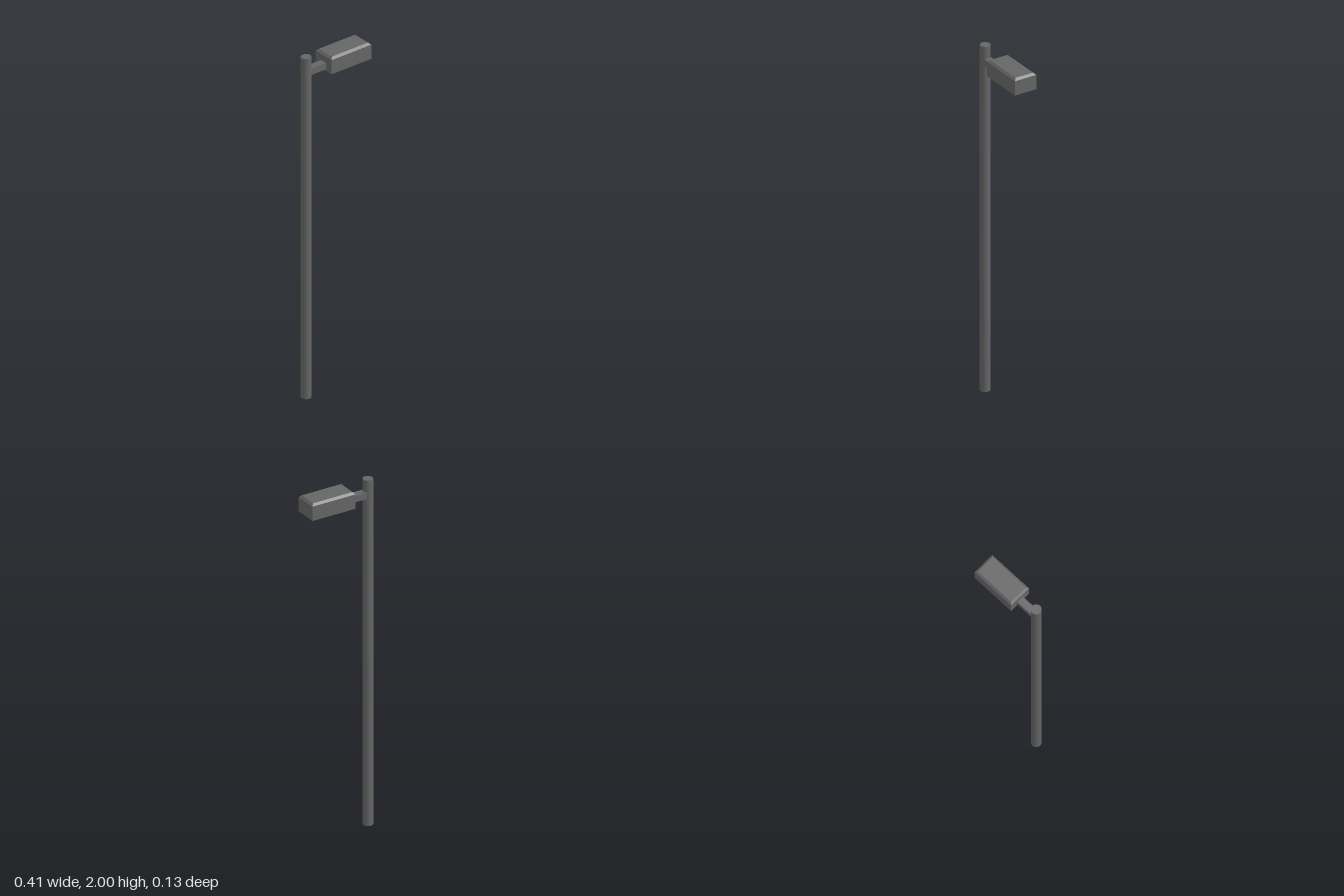
import * as THREE from 'three';

const metal = new THREE.MeshStandardMaterial({ color: 0x666666 });
const metalFlat = new THREE.MeshStandardMaterial({ color: 0x666666, flatShading: true });

// Skin of rectangular rings [inset, y], running from the top cap, round the rim, to the inner ceiling
function rectShell(halfX, halfZ, rings) {
  const pos = [], index = [];
  for (const [inset, y] of rings) {
    const x = halfX - inset, z = halfZ - inset;
    pos.push(x, y, z, x, y, -z, -x, y, -z, -x, y, z);
  }
  index.push(0, 1, 2, 0, 2, 3);
  for (let r = 0; r < rings.length - 1; r++) {
    for (let k = 0; k < 4; k++) {
      const a = r * 4 + k, a2 = r * 4 + (k + 1) % 4;
      index.push(a, a + 4, a2 + 4, a, a2 + 4, a2);
    }
  }
  const n = (rings.length - 1) * 4;
  index.push(n, n + 2, n + 1, n, n + 3, n + 2);
  const indexed = new THREE.BufferGeometry();
  indexed.setAttribute('position', new THREE.Float32BufferAttribute(pos, 3));
  indexed.setIndex(index);
  const geo = indexed.toNonIndexed();
  geo.computeVertexNormals();
  return geo;
}

export function createModel() {
  const group = new THREE.Group();
  group.name = 'streetLamp';
  const add = (name, geo, mat, x, y, z = 0) => {
    const mesh = new THREE.Mesh(geo, mat);
    mesh.name = name;
    mesh.position.set(x, y, z);
    group.add(mesh);
  };

  // Round upright pole
  add('pole', new THREE.CylinderGeometry(0.028, 0.028, 2, 32), metal, -0.176, 1);

  // Short flat arm, running slightly into the pole
  add('arm', new THREE.BoxGeometry(0.105, 0.037, 0.042), metalFlat, -0.1125, 1.9125);

  // Lamp housing: bevelled top, thin walls, hollow underneath
  add('lampHousing', rectShell(0.132, 0.066, [
    [0.012, 0.095], [0, 0.083], [0, 0], [0.006, 0], [0.006, 0.068],
  ]), metalFlat, 0.072, 1.884);

  return group;
}
